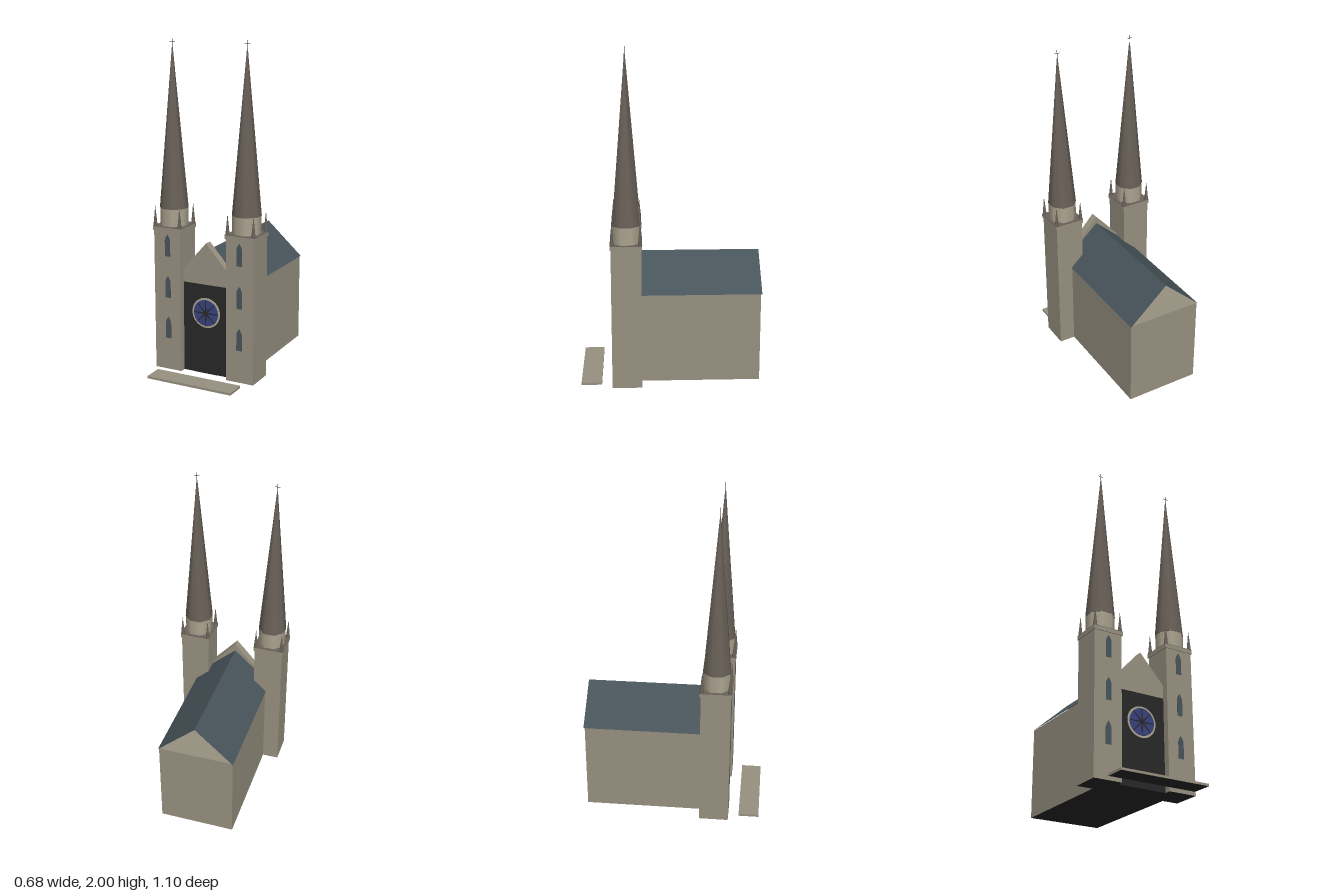
import * as THREE from 'three';

const mat = (name, color, extra = {}) => {
  const m = new THREE.MeshStandardMaterial({ color, ...extra });
  m.name = name;
  return m;
};

export function createModel() {
  const stone = mat('stone', 0x979080);
  const paleStone = mat('paleStone', 0xaca490);
  const spireBrown = mat('spireBrown', 0x6a6159);
  const slate = mat('slate', 0x47545a, { side: THREE.DoubleSide });
  const dark = mat('darkPortal', 0x282828);
  const glass = mat('blueGlass', 0x37427c);
  // stone box with a dark underside
  const groundedStone = [stone, stone, stone, dark, stone, stone];

  const model = new THREE.Group();
  model.name = 'twinSpireChurch';

  const add = (parent, name, geo, material, x = 0, y = 0, z = 0) => {
    const mesh = new THREE.Mesh(geo, material);
    mesh.name = name;
    mesh.position.set(x, y, z);
    parent.add(mesh);
    return mesh;
  };
  // box given by its limits
  const box = (parent, name, material, x0, x1, y0, y1, z0, z1) =>
    add(parent, name, new THREE.BoxGeometry(x1 - x0, y1 - y0, z1 - z0), material,
      (x0 + x1) / 2, (y0 + y1) / 2, (z0 + z1) / 2);
  const extrude = (points, depth) => new THREE.ExtrudeGeometry(
    new THREE.Shape(points.map(([x, y]) => new THREE.Vector2(x, y))),
    { depth, bevelEnabled: false });

  // nave with an open-ended pitched roof
  box(model, 'nave', groundedStone, -0.232, 0.232, 0, 0.556, -0.543, 0.27);
  const pitch = Math.atan2(0.215, 0.237);
  for (const s of [-1, 1]) {
    const geo = new THREE.PlaneGeometry(Math.hypot(0.215, 0.237), 0.82);
    geo.rotateX(-Math.PI / 2);
    geo.rotateZ(-s * pitch);
    add(model, 'roofSlope', geo, slate, s * 0.1185, 0.6625, -0.14);
  }

  // west front between the towers
  box(model, 'portalWall', dark, -0.156, 0.156, 0, 0.56, 0.26, 0.32);
  add(model, 'gable', extrude(
    [[-0.156, 0.56], [0.156, 0.56], [0.156, 0.64], [0, 0.815], [-0.156, 0.64]], 0.05),
  stone, 0, 0, 0.27);

  // pointed door
  const door = new THREE.Shape();
  door.moveTo(-0.08, 0);
  door.lineTo(0.08, 0);
  door.lineTo(0.08, 0.13);
  door.quadraticCurveTo(0.07, 0.2, 0, 0.25);
  door.quadraticCurveTo(-0.07, 0.2, -0.08, 0.13);
  add(model, 'door', new THREE.ExtrudeGeometry(door, { depth: 0.003, bevelEnabled: false }),
    dark, 0, 0, 0.32);

  // rose window: stone disc, blue glass and tapering dark tracery
  const rose = new THREE.Group();
  rose.name = 'roseWindow';
  rose.position.set(0, 0.385, 0.32);
  model.add(rose);
  const disc = (r, h) => new THREE.CylinderGeometry(r, r, h, 40).rotateX(Math.PI / 2);
  add(rose, 'roseRing', disc(0.093, 0.005), paleStone, 0, 0, 0.0025);
  add(rose, 'roseGlass', disc(0.081, 0.008), glass, 0, 0, 0.004);
  const spoke = extrude([[0, -0.005], [0.081, -0.0015], [0.081, 0.0015], [0, 0.005]], 0.002);
  for (let i = 0; i < 8; i++) {
    add(rose, 'roseSpoke', spoke, dark, 0, 0, 0.008).rotation.z = i * Math.PI / 4;
  }
  add(rose, 'roseHub', disc(0.013, 0.003), dark, 0, 0, 0.009);

  // towers
  const lancet = extrude(
    [[-0.018, 0], [0.018, 0], [0.018, 0.1], [0.01, 0.121], [0, 0.135], [-0.01, 0.121], [-0.018, 0.1]], 0.003);
  const octagon = (rTop, rBottom, h) =>
    new THREE.CylinderGeometry(rTop, rBottom, h, 8).rotateY(Math.PI / 8);

  for (const s of [-1, 1]) {
    const tower = new THREE.Group();
    tower.name = s > 0 ? 'leftTower' : 'rightTower';
    tower.position.set(s * 0.243, 0, 0.27);
    model.add(tower);

    box(tower, 'towerShaft', groundedStone, -0.089, 0.089, 0, 0.87, -0.09, 0.09);
    box(tower, 'cornice', stone, -0.095, 0.095, 0.868, 0.892, -0.095, 0.095);
    box(tower, 'corniceTop', spireBrown, -0.095, 0.095, 0.892, 0.895, -0.095, 0.095);
    add(tower, 'belfryDrum', octagon(0.085, 0.085, 0.105), paleStone, 0, 0.947, 0);
    add(tower, 'spire', octagon(0.003, 0.087, 0.95), spireBrown, 0, 1.475, 0);

    // corner pinnacles
    for (const px of [-1, 1]) for (const pz of [-1, 1]) {
      add(tower, 'pinnacle', new THREE.ConeGeometry(0.013, 0.125, 8), spireBrown,
        px * 0.083, 0.957, pz * 0.083);
    }

    // finial cross
    box(tower, 'crossPost', dark, -0.001, 0.001, 1.94, 2, -0.001, 0.001);
    box(tower, 'crossArm', dark, -0.017, 0.017, 1.979, 1.981, -0.001, 0.001);

    // lancet windows
    for (const y of [0.2, 0.457, 0.715]) add(tower, 'lancetWindow', lancet, slate, -s * 0.003, y, 0.089);
  }

  // front step
  box(model, 'frontStep', groundedStone, -0.28, 0.28, 0, 0.014, 0.425, 0.55);

  return model;
}
